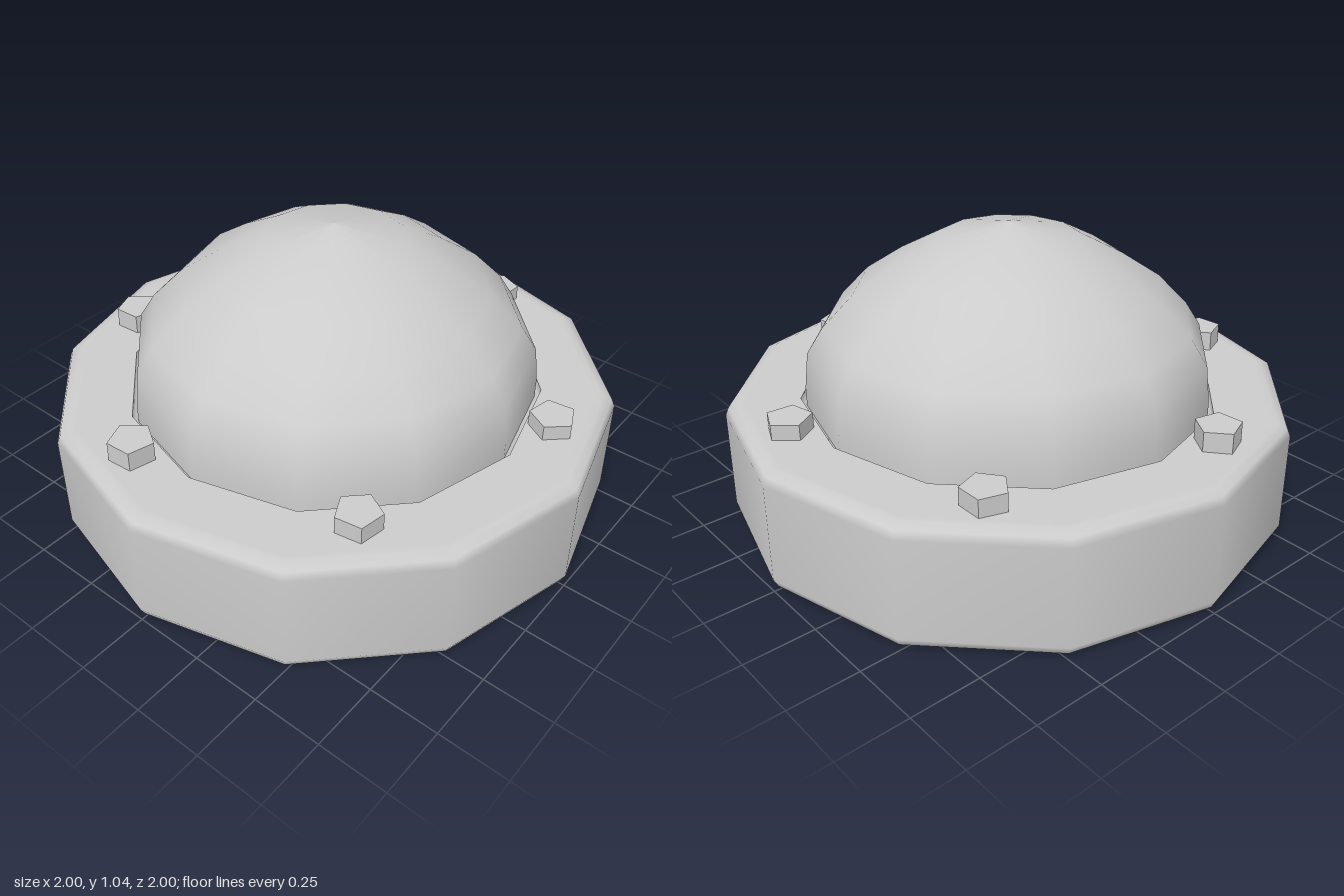
import * as THREE from 'three';

const SIDES = 12;
const material = new THREE.MeshStandardMaterial({ color: 0xcccccc });
const flatMaterial = new THREE.MeshStandardMaterial({ color: 0xcccccc, flatShading: true });

// Twelve-sided turned part; profile runs [radius, height] from bottom to top
function lathe(name, profile) {
  const points = profile.map(([r, y]) => new THREE.Vector2(r, y));
  const mesh = new THREE.Mesh(new THREE.LatheGeometry(points, SIDES), material);
  mesh.name = name;
  return mesh;
}

export function createModel() {
  const model = new THREE.Group();
  model.name = 'domedLamp';

  // Thick round base with softened rims
  model.add(lathe('base', [
    [0, 0], [0.93, 0], [0.96, 0.005], [0.985, 0.015], [1, 0.045],
    [1, 0.4], [0.988, 0.428], [0.955, 0.44], [0.93, 0.44], [0.74, 0.44],
  ]));

  // Shallow groove between base and dome
  model.add(lathe('groove', [[0.74, 0.44], [0.735, 0.41], [0.7, 0.41]]));

  // Dome with a slightly pointed crown
  model.add(lathe('dome', [
    [0.72, 0.4], [0.72, 0.48], [0.705, 0.61], [0.648, 0.7],
    [0.54, 0.812], [0.402, 0.905], [0.25, 0.987], [0, 1.045],
  ]));

  // Ring of five-sided bolts, tilted a touch: [x, z, corner direction in degrees]
  const bolts = new THREE.Group();
  bolts.name = 'bolts';
  const boltGeometry = new THREE.CylinderGeometry(0.08, 0.08, 0.1, 5);
  const places = [
    [-0.577, -0.575, 18], [-0.785, 0.225, 50], [-0.222, 0.78, 50],
    [0.55, 0.573, 45], [0.77, -0.208, 11], [0.186, -0.786, 41],
  ];
  for (const [x, z, corner] of places) {
    const bolt = new THREE.Mesh(boltGeometry, flatMaterial);
    bolt.name = 'bolt';
    bolt.position.set(x, 0.453, z);
    bolt.rotation.y = THREE.MathUtils.degToRad(90 - corner);
    bolts.add(bolt);
  }
  bolts.rotation.set(-0.008, 0, -0.009);
  model.add(bolts);

  return model;
}
